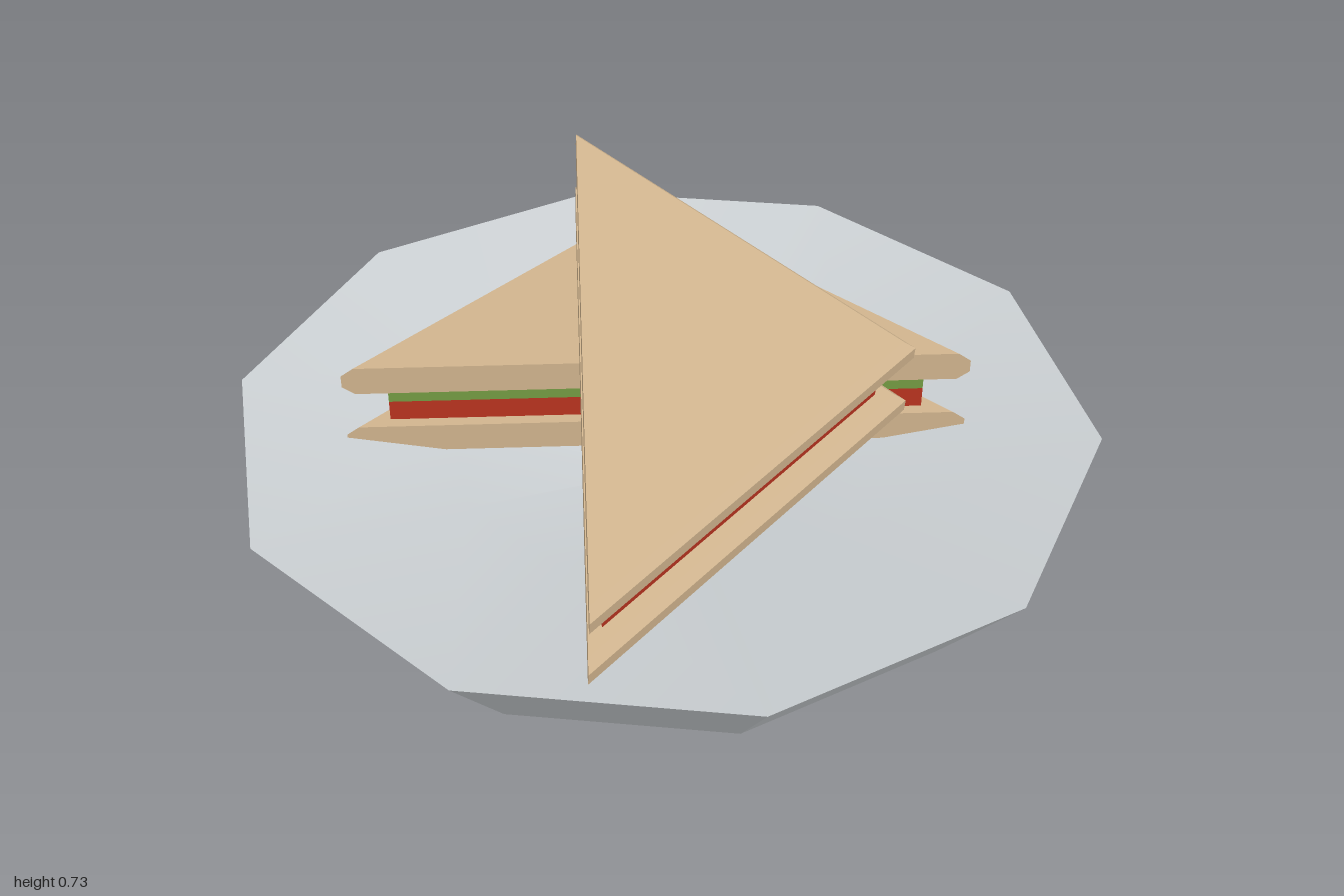
import * as THREE from 'three';

const mat = (name, color) => {
  const m = new THREE.MeshStandardMaterial({ color });
  m.name = name;
  return m;
};

const flat = (geo) => {
  const g = geo.index ? geo.toNonIndexed() : geo;
  g.computeVertexNormals();
  return g;
};

// Right-triangle slab: corner at the origin, legs along +x and +z.
// levels: [height, inset of the two legs]; the long cut side x + z = cut stays flat.
function triangleSlab(levels, cut) {
  const pos = [];
  const rings = levels.map(([y, i]) => [[i, y, i], [cut - i, y, i], [i, y, cut - i]]);
  const tri = (a, b, c) => pos.push(...a, ...b, ...c);
  const [A, B, C] = rings[0];
  tri(A, B, C);
  for (let l = 0; l < rings.length - 1; l++) {
    for (let k = 0; k < 3; k++) {
      const n = (k + 1) % 3;
      const lo = rings[l], hi = rings[l + 1];
      tri(lo[k], hi[k], lo[n]);
      tri(lo[n], hi[k], hi[n]);
    }
  }
  const [D, E, F] = rings[rings.length - 1];
  tri(D, F, E);
  const g = new THREE.BufferGeometry();
  g.setAttribute('position', new THREE.Float32BufferAttribute(pos, 3));
  return flat(g);
}

export function createModel() {
  const model = new THREE.Group();
  model.name = 'sandwichPlate';
  const ceramic = mat('plate grey', 0xcbd0d3);
  const crust = mat('bread tan', 0xd0b48e);
  const red = mat('tomato red', 0xb8331f);
  const green = mat('lettuce green', 0x739a42);

  const add = (parent, name, geo, material, y = 0) => {
    const m = new THREE.Mesh(geo, material);
    m.name = name;
    m.position.y = y;
    parent.add(m);
    return m;
  };

  // Ten-sided plate with a shallow dished top
  const plate = new THREE.Group();
  plate.name = 'plate';
  model.add(plate);
  const start = Math.PI / 2;
  add(plate, 'plateWall', flat(new THREE.CylinderGeometry(1, 0.8, 0.25, 10, 1, true, start)), ceramic, 0.125);
  add(plate, 'plateBase', new THREE.CircleGeometry(0.8, 10).rotateX(Math.PI / 2), ceramic);
  const dish = [new THREE.Vector2(1, 0.25), new THREE.Vector2(0.5, 0.16), new THREE.Vector2(0, 0.07)];
  add(plate, 'plateDish', new THREE.LatheGeometry(dish, 10, start), ceramic);

  // Sandwich half: two bread slices with chamfered crusts around two fillings
  const bread = triangleSlab([[0, 0.02], [0.02, 0], [0.05, 0], [0.07, 0.02]], 1.01);
  const tomato = triangleSlab([[0, 0.05], [0.05, 0.05]], 0.97);
  const lettuce = triangleSlab([[0, 0.05], [0.045, 0.05]], 0.97);
  const sandwich = (name) => {
    const g = new THREE.Group();
    g.name = name;
    add(g, 'bottomBread', bread, crust);
    add(g, 'tomato', tomato, red, 0.07);
    add(g, 'lettuce', lettuce, green, 0.12);
    add(g, 'topBread', bread, crust, 0.165);
    return g;
  };

  // Half lying flat in the dish
  const lower = sandwich('lowerSandwich');
  lower.position.set(-0.5, 0.165, -0.48);
  model.add(lower);

  // Half leaning on top, turned a quarter and tilted
  const tilt = new THREE.Group();
  tilt.name = 'leaningSandwich';
  tilt.position.set(0.495, 0.345, -0.247);
  tilt.rotation.set(0.112, 0, -0.155);
  const upper = sandwich('upperSandwich');
  upper.rotation.y = -Math.PI / 2;
  tilt.add(upper);
  model.add(tilt);

  return model;
}
